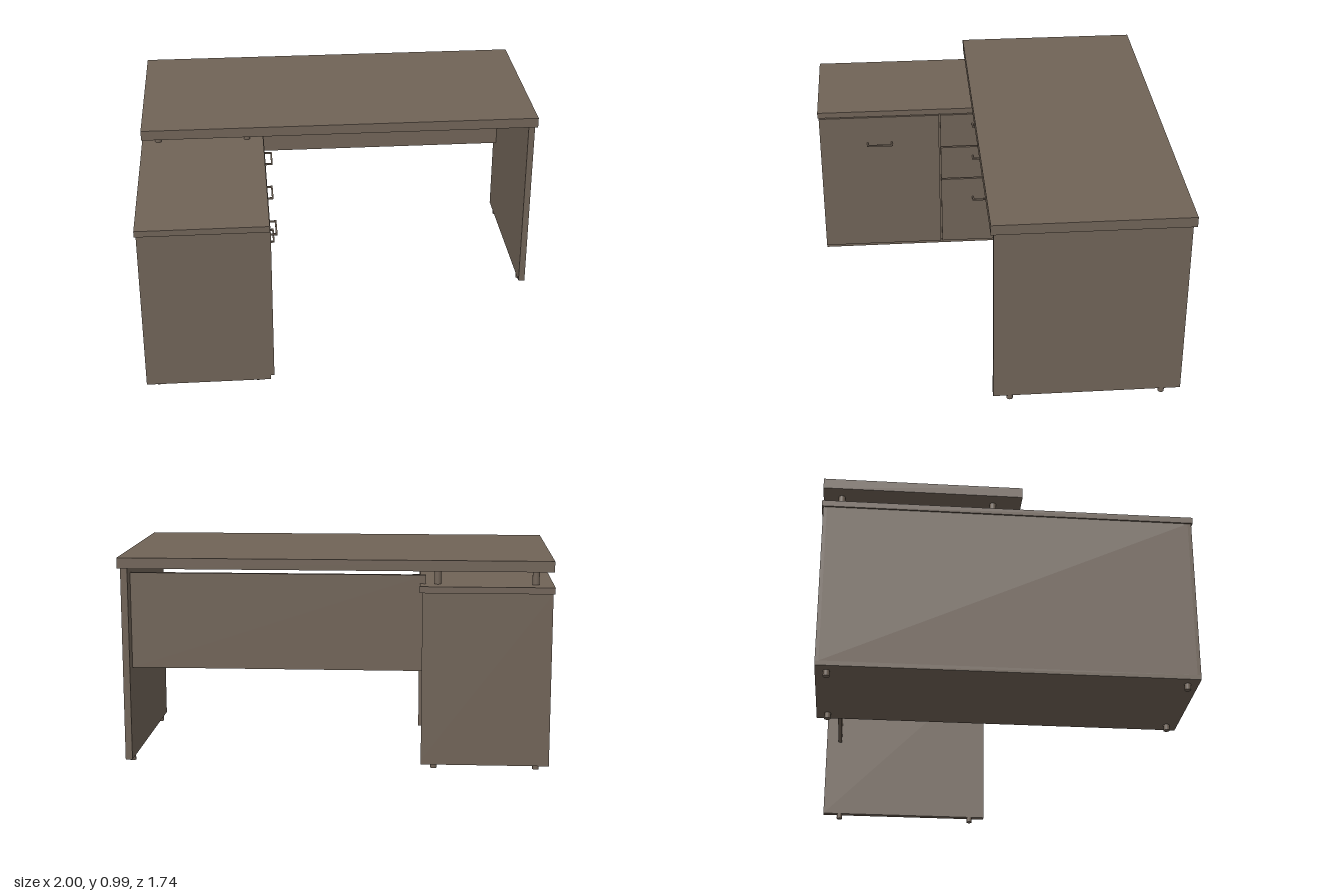
import * as THREE from 'three';

export function createModel() {
  const desk = new THREE.Group();
  desk.name = 'cornerDesk';
  const wood = new THREE.MeshStandardMaterial({ color: 0x706357 });
  wood.name = 'taupe laminate';

  const add = (name, geometry, parent = desk) => {
    const mesh = new THREE.Mesh(geometry, wood);
    mesh.name = name;
    parent.add(mesh);
    return mesh;
  };
  // Box given by its limits on each axis
  const box = (name, [x0, x1], [y0, y1], [z0, z1], parent) =>
    add(name, new THREE.BoxGeometry(x1 - x0, y1 - y0, z1 - z0), parent)
      .position.set((x0 + x1) / 2, (y0 + y1) / 2, (z0 + z1) / 2);
  // Upright cylinder between two heights
  const post = (name, r, x, z, y0, y1, parent) =>
    add(name, new THREE.CylinderGeometry(r, r, y1 - y0, 20), parent)
      .position.set(x, (y0 + y1) / 2, z);

  // Main table
  const table = new THREE.Group();
  table.name = 'table';
  desk.add(table);
  box('desktop', [-0.995, 0.998], [0.935, 0.985], [-0.866, 0.064], table);
  box('sidePanelLeg', [0.954, 0.986], [0.025, 0.935], [-0.85, 0.05], table);
  box('modestyPanel', [-0.415, 0.954], [0.455, 0.905], [-0.785, -0.765], table);
  for (const z of [-0.76, -0.03]) post('legFoot', 0.015, 0.97, z, 0, 0.025, table);
  for (const x of [-0.918, -0.47])
    for (const z of [-0.78, -0.07]) post('desktopSupport', 0.016, x, z, 0.865, 0.935, table);

  // Cabinet carcass
  const cabinet = new THREE.Group();
  cabinet.name = 'cabinet';
  desk.add(cabinet);
  box('cabinetTop', [-1, -0.388], [0.835, 0.865], [-0.868, 0.868], cabinet);
  box('cabinetFloor', [-0.992, -0.4], [0.028, 0.05], [-0.862, 0.862], cabinet);
  box('cabinetBack', [-0.992, -0.975], [0.05, 0.835], [-0.845, 0.845], cabinet);
  box('frontEndPanel', [-0.992, -0.4], [0.05, 0.835], [0.845, 0.862], cabinet);
  box('rearEndPanel', [-0.992, -0.4], [0.05, 0.835], [-0.862, -0.845], cabinet);
  for (const z of [0.227, -0.238])
    box('divider', [-0.975, -0.402], [0.05, 0.835], [z - 0.01, z + 0.01], cabinet);
  box('shelf', [-0.975, -0.41], [0.47, 0.492], [-0.845, -0.248], cabinet);
  for (const x of [-0.935, -0.46])
    for (const z of [-0.81, 0.81]) post('cabinetFoot', 0.015, x, z, 0, 0.028, cabinet);

  // Door and drawer fronts, each with a bar handle
  const fronts = [
    ['door', 0.05, 0.831, 0.231, 0.862, 0.68],
    ['topDrawer', 0.642, 0.831, -0.246, 0.223, 0.775],
    ['middleDrawer', 0.446, 0.635, -0.246, 0.223, 0.58],
    ['bottomDrawer', 0.05, 0.439, -0.246, 0.223, 0.325],
  ];
  for (const [name, y0, y1, z0, z1, handleY] of fronts) {
    const front = new THREE.Group();
    front.name = name;
    cabinet.add(front);
    box(name + 'Front', [-0.4, -0.384], [y0, y1], [z0, z1], front);
    const z = (z0 + z1) / 2;
    box('handleBar', [-0.354, -0.346], [handleY - 0.004, handleY + 0.004], [z - 0.068, z + 0.068], front);
    for (const s of [-1, 1])
      box('handleStem', [-0.385, -0.353], [handleY - 0.004, handleY + 0.004],
        [z + s * 0.064 - 0.004, z + s * 0.064 + 0.004], front);
  }
  return desk;
}
